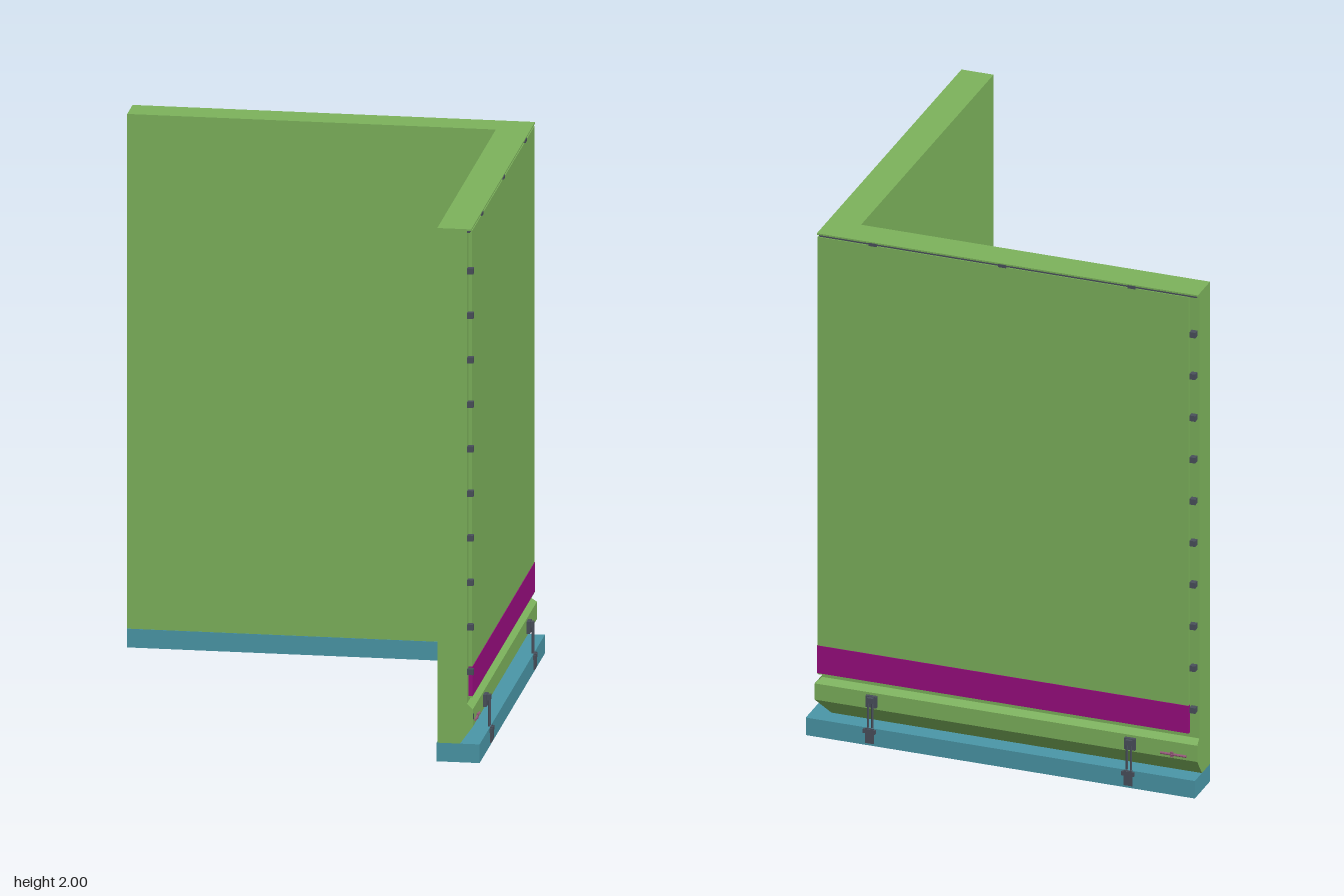
import * as THREE from 'three';

const mat = (color) => new THREE.MeshStandardMaterial({ color, flatShading: true });
const GREEN = mat(0x7db35c), TEAL = mat(0x4a97a8), MAGENTA = mat(0x9a0d80);
const DARK = mat(0x4a505c), PINK = mat(0x96587a);
const END = 0.757;

// Sweeps a counter-clockwise (offset, height) profile along the L, mitred at the corner
function sweepL(name, profile, material, end = END) {
  const stations = [
    (u, y) => [-end, y, -u],
    (u, y) => [u, y, -u],
    (u, y) => [u, y, end],
  ];
  const pos = [];
  const n = profile.length;
  for (let s = 0; s < 2; s++) {
    for (let i = 0; i < n; i++) {
      const p = profile[i], q = profile[(i + 1) % n];
      const a = stations[s](...p), b = stations[s](...q);
      const c = stations[s + 1](...q), d = stations[s + 1](...p);
      pos.push(...a, ...b, ...c, ...a, ...c, ...d);
    }
  }
  // end caps
  const pts = profile.map((p) => new THREE.Vector2(...p));
  for (const [i, j, k] of THREE.ShapeUtils.triangulateShape(pts, [])) {
    for (const v of [i, j, k]) pos.push(...stations[2](...profile[v]));
    for (const v of [k, j, i]) pos.push(...stations[0](...profile[v]));
  }
  const geo = new THREE.BufferGeometry();
  geo.setAttribute('position', new THREE.Float32BufferAttribute(pos, 3));
  geo.computeVertexNormals();
  const mesh = new THREE.Mesh(geo, material);
  mesh.name = name;
  return mesh;
}

const rect = (u0, u1, y0, y1) => [[u0, y0], [u1, y0], [u1, y1], [u0, y1]];

function box(name, w, h, d, x, y, z, material = DARK) {
  const m = new THREE.Mesh(new THREE.BoxGeometry(w, h, d), material);
  m.name = name;
  m.position.set(x, y, z);
  return m;
}

function rod(name, r, len, x, y, z, material = DARK) {
  const m = new THREE.Mesh(new THREE.CylinderGeometry(r, r, len, 8), material);
  m.name = name;
  m.position.set(x, y, z);
  return m;
}

// Toggle latch joining wall and base
function latch(t) {
  const g = new THREE.Group();
  g.name = 'latch';
  g.add(box('hookPlate', 0.016, 0.045, 0.042, 0.727, 0.168, t));
  g.add(box('hook', 0.014, 0.02, 0.024, 0.74, 0.178, t));
  for (const s of [-1, 1]) g.add(rod('latchRod', 0.004, 0.12, 0.742, 0.12, t + s * 0.008));
  g.add(box('latchBracket', 0.008, 0.06, 0.034, 0.748, 0.04, t));
  g.add(box('latchLever', 0.008, 0.045, 0.014, 0.753, 0.045, t));
  for (const s of [-1, 1]) g.add(box('latchEar', 0.012, 0.016, 0.008, 0.75, 0.058, t + s * 0.02));
  return g;
}

// Fittings along one wing; s points from the corner to the free end
function fittings(s) {
  const g = new THREE.Group();
  g.name = 'wingFittings';
  for (const t of [-0.5, 0.5]) g.add(latch(t));
  // fasteners down the free edge
  for (let i = 0; i < 11; i++) {
    g.add(box('edgeFastener', 0.024, 0.022, 0.022, 0.71, 0.17 + i * 0.167, s * 0.738));
  }
  // small clips under the top edge
  for (const t of [-0.5, 0, 0.5]) g.add(box('topClip', 0.012, 0.012, 0.03, 0.712, 1.99, t));
  // locating pin near the free end
  const pin = rod('lockPin', 0.005, 0.1, 0.723, 0.15, s * 0.665, PINK);
  pin.rotation.x = Math.PI / 2;
  g.add(pin, box('pinTab', 0.008, 0.02, 0.012, 0.723, 0.15, s * 0.66, PINK));
  return g;
}

export function createModel() {
  const model = new THREE.Group();
  model.name = 'cornerWall';

  model.add(sweepL('base', rect(0.59, 0.747, 0, 0.07), TEAL));
  // lower sill with its undercut outer edge
  model.add(sweepL('sill', [
    [0.592, 0.07], [0.675, 0.07], [0.722, 0.135], [0.722, 0.2], [0.702, 0.22], [0.592, 0.22],
  ], GREEN));
  model.add(sweepL('wall', rect(0.592, 0.7, 0.22, 2), GREEN));
  model.add(sweepL('outerPanel', rect(0.698, 0.714, 0.235, 1.985), GREEN, 0.72));
  model.add(sweepL('colourBand', rect(0.7, 0.716, 0.24, 0.35), MAGENTA, 0.721));
  model.add(sweepL('topSeal', rect(0.698, 0.71, 1.985, 1.994), DARK, 0.75));
  model.add(sweepL('topRim', rect(0.698, 0.716, 1.994, 2), GREEN));

  const side = fittings(1);
  const back = fittings(-1);
  back.rotation.y = Math.PI / 2;
  model.add(side, back);
  return model;
}
